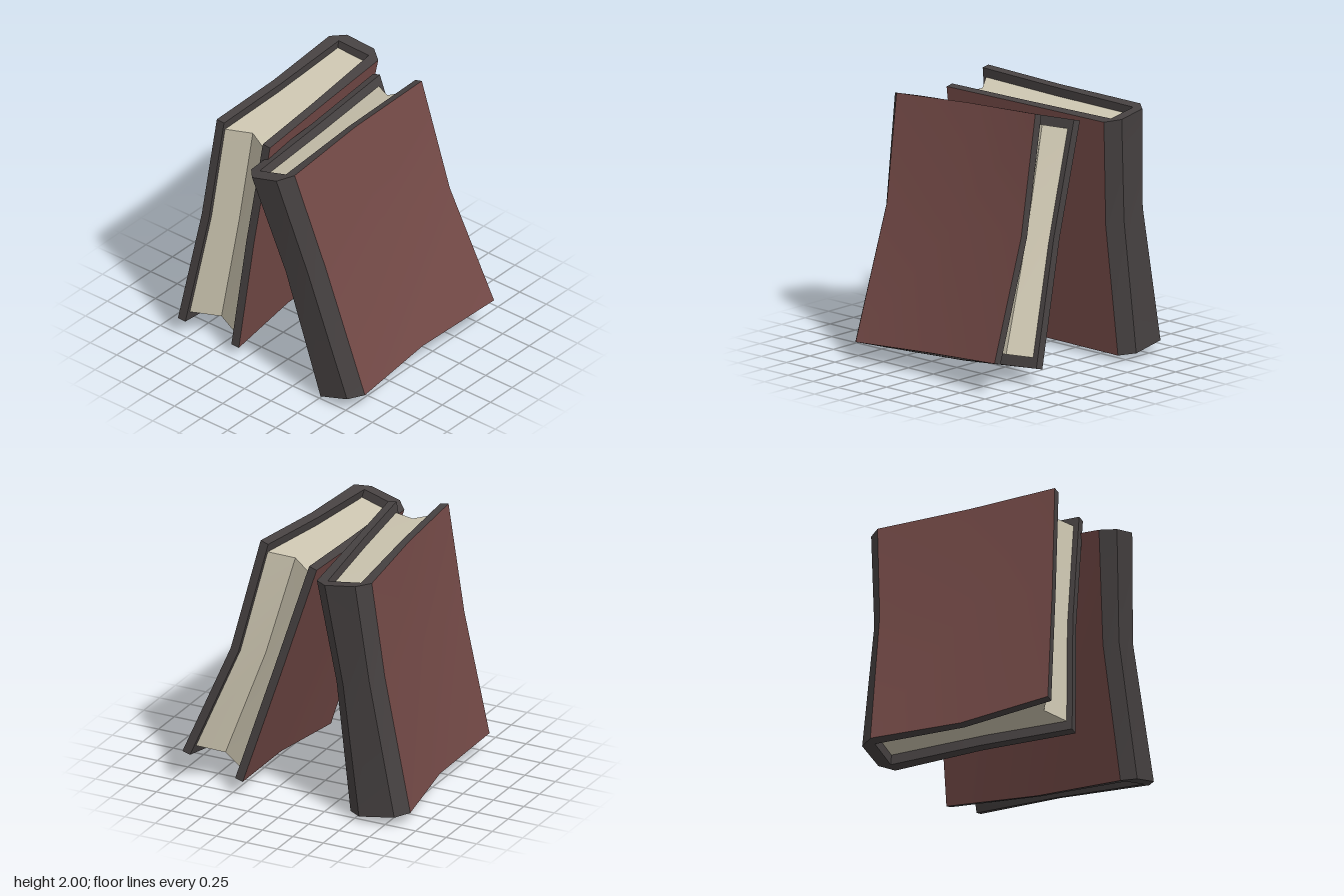
import * as THREE from 'three';
import { toCreasedNormals } from 'three/addons/utils/BufferGeometryUtils.js';

const V = (p) => new THREE.Vector3(...p);
const mix = (a, b, t) => a.clone().lerp(b, t);

// Cross-sections at bottom, middle and top. Each runs from the tip of one cover,
// around the bevelled spine, to the tip of the other cover.
const FRONT_BOOK = [
  [[0.76, 0.25, 0.91], [0.05, 0.18, 0.82], [-0.67, 0.14, 0.865], [-0.76, 0.11, 0.77],
    [-0.76, 0.03, 0.52], [-0.67, 0.0, 0.43], [0.05, 0.055, 0.47], [0.77, 0.11, 0.41]],
  [[0.69, 1.12, 0.55], [-0.01, 1.1, 0.48], [-0.69, 1.12, 0.51], [-0.78, 1.07, 0.42],
    [-0.78, 1.0, 0.21], [-0.69, 0.97, 0.13], [0, 1.0, 0.16], [0.68, 1.03, 0.13]],
  [[0.63, 2.0, 0.335], [-0.08, 1.945, 0.29], [-0.79, 1.89, 0.3], [-0.89, 1.855, 0.21],
    [-0.89, 1.79, -0.02], [-0.79, 1.77, -0.11], [-0.08, 1.81, -0.11], [0.64, 1.86, -0.13]],
];
const BACK_BOOK = [
  [[-0.76, 0.145, -0.825], [-0.02, 0.11, -0.8], [0.67, 0.095, -0.915], [0.78, 0.085, -0.84],
    [0.8, 0.045, -0.56], [0.72, 0.035, -0.45], [0.01, 0.05, -0.42], [-0.7, 0.075, -0.3]],
  [[-0.7, 1.1, -0.65], [0, 1.12, -0.64], [0.7, 1.16, -0.72], [0.79, 1.13, -0.64],
    [0.8, 1.07, -0.43], [0.71, 1.04, -0.33], [0.03, 1.03, -0.27], [-0.65, 1.0, -0.2]],
  [[-0.66, 1.96, -0.54], [0.03, 1.935, -0.57], [0.76, 1.91, -0.645], [0.86, 1.905, -0.56],
    [0.88, 1.875, -0.32], [0.8, 1.86, -0.215], [0.02, 1.88, -0.135], [-0.63, 1.895, -0.063]],
];

// Collects triangles and turns them into a mesh with soft bends and sharp edges
function builder() {
  const pos = [];
  const tri = (a, b, c) => {
    const n = b.clone().sub(a).cross(c.clone().sub(a));
    if (n.length() > 1e-7) for (const p of [a, b, c]) pos.push(p.x, p.y, p.z);
  };
  const quad = (a, b, c, d) => { tri(a, b, c); tri(a, c, d); };
  // Skin through stacked rows of points
  const skin = (rows, flip = false) => {
    for (let k = 0; k < rows.length - 1; k++) {
      for (let i = 0; i < rows[k].length - 1; i++) {
        const q = [rows[k][i + 1], rows[k][i], rows[k + 1][i], rows[k + 1][i + 1]];
        if (flip) q.reverse();
        quad(...q);
      }
    }
  };
  const mesh = (name, material) => {
    let g = new THREE.BufferGeometry();
    g.setAttribute('position', new THREE.Float32BufferAttribute(pos, 3));
    g = toCreasedNormals(g, 0.45);
    const m = new THREE.Mesh(g, material);
    m.name = name;
    return m;
  };
  return { tri, skin, mesh };
}

// Inside outline of the case, one point per outside point
function insideOf(row) {
  const inset = (i, t) => {
    const a = row[i], b = row[7 - i];
    return mix(a, b, t / a.distanceTo(b));
  };
  const [f0, f1, f2, b2, b1, b0] = [[0, 0.065], [1, 0.065], [2, 0.085], [5, 0.085], [6, 0.065], [7, 0.065]]
    .map(([i, t]) => inset(i, t));
  return [f0, f1, f2, f2, b2, b2, b1, b0];
}

function makeBook(name, data, mats) {
  const book = new THREE.Group();
  book.name = name;
  const outer = data.map((row) => row.map(V));
  const inner = outer.map(insideOf);
  const part = (rows, a, b) => rows.map((r) => r.slice(a, b));

  // Cover boards
  for (const [label, a, b] of [['firstCover', 0, 3], ['secondCover', 5, 8]]) {
    const s = builder();
    s.skin(part(outer, a, b));
    book.add(s.mesh(label, mats.cover));
  }

  // Spine
  const spine = builder();
  spine.skin(part(outer, 2, 6));
  book.add(spine.mesh('spine', mats.binding));

  // Case lining, fore edges and end rims
  const lining = builder();
  lining.skin(inner, true);
  lining.skin(outer.map((r, k) => [inner[k][0], r[0]]));
  lining.skin(outer.map((r, k) => [r[7], inner[k][7]]));
  lining.skin([outer[2], inner[2]]);
  lining.skin([inner[0], outer[0]]);
  book.add(lining.mesh('caseEdges', mats.binding));

  // Page block, recessed at both ends, with a grooved fore edge
  const pageRow = ([f0, f1, f2, , b2, , b1, b0]) => {
    const groove = mix(mix(f0, b0, 0.5), mix(f1, b1, 0.5), 0.2);
    return [groove, mix(f0, f1, 0.04), f1, f2, b2, b1, mix(b0, b1, 0.06), groove];
  };
  const between = (p, q, t) => p.map((v, i) => mix(v, q[i], t));
  const rows = [between(inner[0], inner[1], 0.08), inner[1], between(inner[2], inner[1], 0.08)].map(pageRow);
  const pages = builder();
  pages.skin(rows);
  for (const [r, up] of [[rows[0], false], [rows[2], true]]) {
    const [g, f0, f1, f2, b2, b1, b0] = r;
    for (const [a, b, c] of [[g, f0, f1], [g, f1, b1], [g, b1, b0], [f1, f2, b2], [f1, b2, b1]]) {
      if (up) pages.tri(a, c, b);
      else pages.tri(a, b, c);
    }
  }
  book.add(pages.mesh('pages', mats.pages));
  return book;
}

export function createModel() {
  const mat = (name, color) => {
    const m = new THREE.MeshStandardMaterial({ color });
    m.name = name;
    return m;
  };
  const mats = {
    cover: mat('cover brown', 0x744a47),
    binding: mat('binding grey', 0x474242),
    pages: mat('page cream', 0xccc5b0),
  };
  const group = new THREE.Group();
  group.name = 'leaningBooks';
  group.add(makeBook('frontBook', FRONT_BOOK, mats), makeBook('backBook', BACK_BOOK, mats));
  return group;
}
